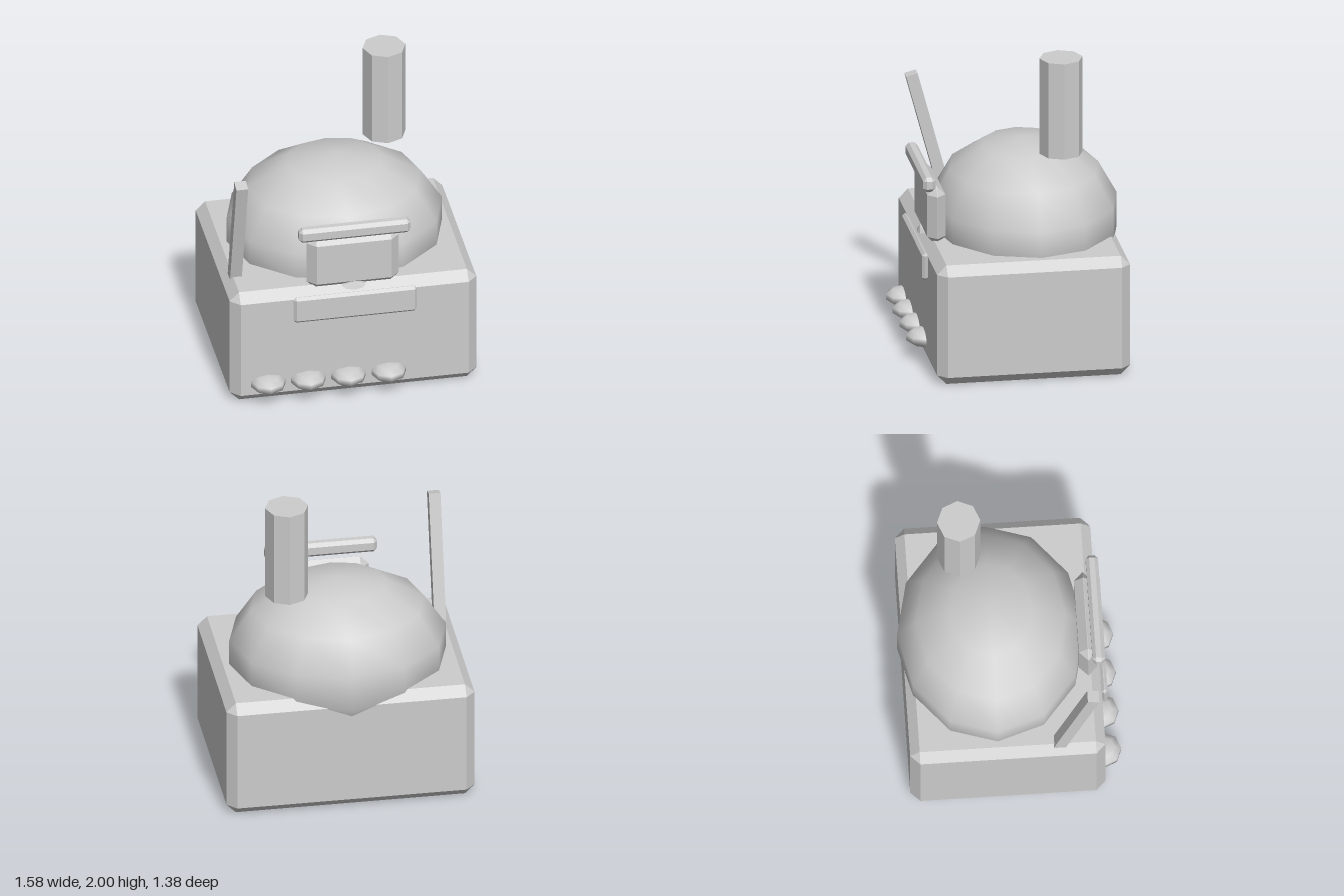
import * as THREE from 'three';
import { ConvexGeometry } from 'three/addons/geometries/ConvexGeometry.js';

// Box with flat chamfers, given as min and max corners
function chamferBox(min, max, c) {
  const center = min.map((v, i) => (v + max[i]) / 2);
  const h = min.map((v, i) => (max[i] - v) / 2);
  const points = [];
  for (const sx of [-1, 1]) for (const sy of [-1, 1]) for (const sz of [-1, 1]) {
    for (let axis = 0; axis < 3; axis++) {
      const p = h.map((v, i) => (i === axis ? v : v - c));
      points.push(new THREE.Vector3(sx * p[0], sy * p[1], sz * p[2]));
    }
  }
  return new ConvexGeometry(points).translate(...center);
}

export function createModel() {
  const group = new THREE.Group();
  const grey = new THREE.MeshStandardMaterial({ color: 0xcccccc });
  grey.name = 'grey';

  function add(name, geometry, x = 0, y = 0, z = 0) {
    const mesh = new THREE.Mesh(geometry, grey);
    mesh.name = name;
    mesh.position.set(x, y, z);
    group.add(mesh);
    return mesh;
  }
  const flat = (geometry) => {
    const g = geometry.toNonIndexed();
    g.computeVertexNormals();
    return g;
  };

  // Chamfered main body
  add('body', chamferBox([-0.79, 0, -0.655], [0.79, 0.79, 0.575], 0.06));

  // Smooth low-poly dome sunk into the body
  add('dome', new THREE.SphereGeometry(1, 12, 7), 0, 0.84, -0.1).scale.set(0.708, 0.525, 0.605);

  // Octagonal chimney floating above the dome
  add('chimney', flat(new THREE.CylinderGeometry(0.137, 0.137, 0.635, 8)), 0.354, 1.6825, -0.278);

  // Lever leaning forward on the right side
  const lever = add('lever', new THREE.BoxGeometry(0.075, 0.83, 0.075), -0.7125, 1.164, 0.392);
  lever.rotation.x = THREE.MathUtils.degToRad(15);

  // Front screen, bar above it and plate below it
  add('screen', chamferBox([-0.295, 0.755, 0.44], [0.295, 1.145, 0.555], 0.056));
  add('topBar', chamferBox([-0.357, 1.145, 0.52], [0.357, 1.24, 0.598], 0.022));
  add('frontPlate', chamferBox([-0.396, 0.572, 0.572], [0.396, 0.755, 0.612], 0.018));

  // Small flattened cone between screen and plate
  const knob = add('knob', flat(new THREE.ConeGeometry(0.078, 0.035, 8)), 0, 0.795, 0.553);
  knob.scale.z = 0.5;
  knob.rotation.x = 0.45;

  // Row of rounded buttons
  for (let i = 0; i < 4; i++) {
    const button = add('button' + (i + 1), new THREE.SphereGeometry(0.116, 8, 5), -0.555 + i * 0.257, 0.139, 0.575);
    button.scale.y = 0.5;
  }

  return group;
}
